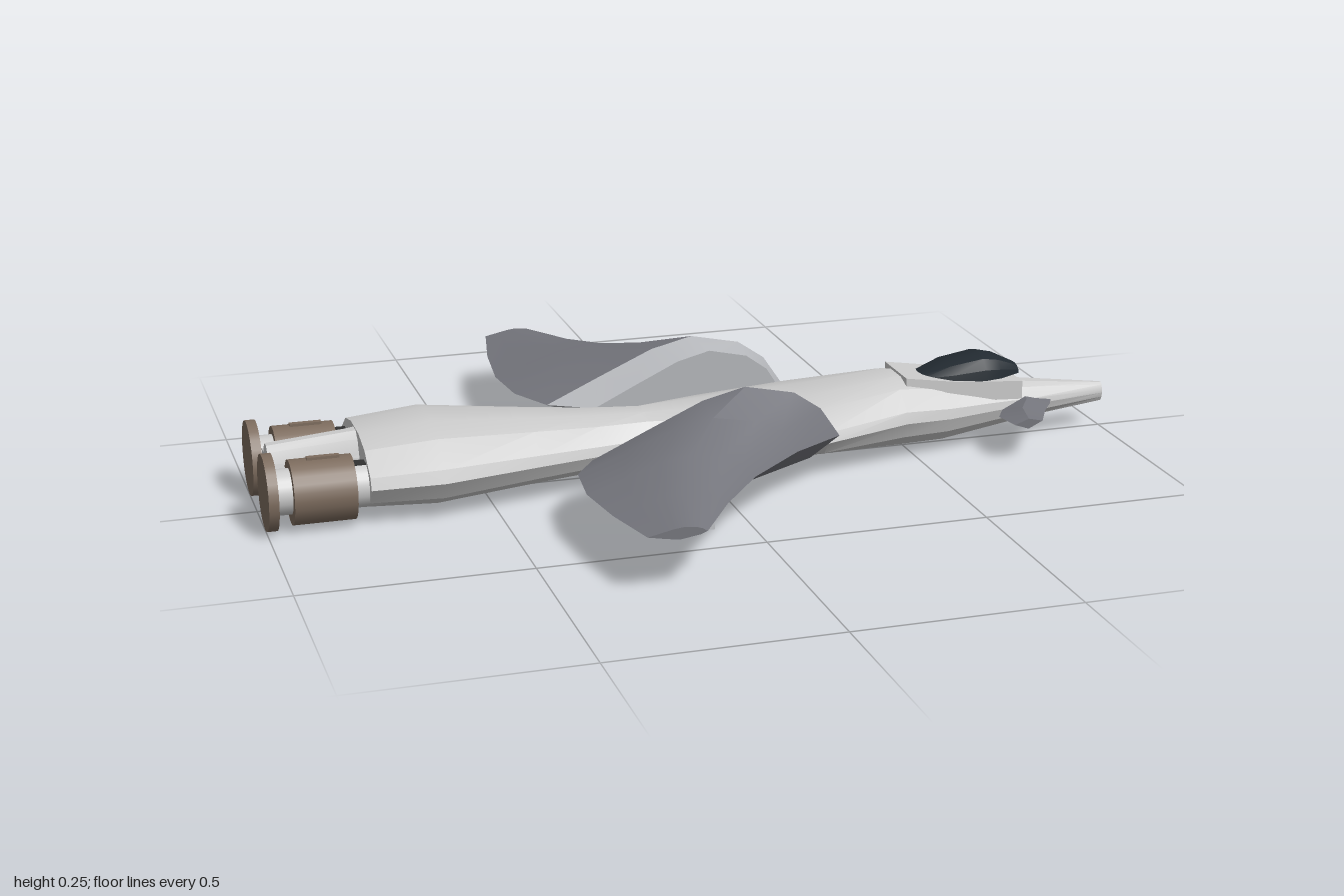
import * as THREE from 'three';
import { toCreasedNormals } from 'three/addons/utils/BufferGeometryUtils.js';

const mat = (color) => new THREE.MeshStandardMaterial({ color, side: THREE.DoubleSide });
const HULL = mat(0xcccccc), WING = mat(0x75767d), COLLAR = mat(0xb4b6ba);
const GLASS = mat(0x222a31), BROWN = mat(0x7d6c5e), DARK = mat(0x303030);

// Closed skin through rings of [x, y, z] points, wound outward by its signed volume.
function loft(rings, crease = 0.35) {
  const pos = [], n = rings[0].length;
  const tri = (a, b, c) => pos.push(...a, ...b, ...c);
  for (let i = 0; i < rings.length - 1; i++) {
    for (let j = 0; j < n; j++) {
      const k = (j + 1) % n, r = rings[i], s = rings[i + 1];
      tri(r[j], r[k], s[k]);
      tri(r[j], s[k], s[j]);
    }
  }
  const cap = (r, flip) => {
    const c = [0, 1, 2].map((q) => r.reduce((t, p) => t + p[q], 0) / n);
    r.forEach((p, j) => (flip ? tri(c, r[(j + 1) % n], p) : tri(c, p, r[(j + 1) % n])));
  };
  cap(rings[0], true);
  cap(rings[rings.length - 1], false);
  let vol = 0;
  const a = new THREE.Vector3(), b = new THREE.Vector3(), c = new THREE.Vector3();
  for (let i = 0; i < pos.length; i += 9) {
    vol += a.fromArray(pos, i).dot(b.fromArray(pos, i + 3).cross(c.fromArray(pos, i + 6)));
  }
  if (vol < 0) {
    for (let i = 0; i < pos.length; i += 9) {
      for (let q = 3; q < 6; q++) [pos[i + q], pos[i + q + 3]] = [pos[i + q + 3], pos[i + q]];
    }
  }
  const g = new THREE.BufferGeometry();
  g.setAttribute('position', new THREE.Float32BufferAttribute(pos, 3));
  g.computeVertexNormals();
  return toCreasedNormals(g, crease);
}

// Hull cross-section: [share of half width, share of height]
const HULL_SECTION = [
  [0.25, 1], [0.62, 0.9], [0.95, 0.64], [1, 0.48], [0.86, 0.25], [0.45, 0.03],
  [-0.45, 0.03], [-0.86, 0.25], [-1, 0.48], [-0.95, 0.64], [-0.62, 0.9], [-0.25, 1],
];
const hullRing = ([x, w, lo, hi]) => HULL_SECTION.map(([u, v]) => [x, lo + (hi - lo) * v, u * w]);

// Wing section: [share of chord from trailing edge, share of thickness above or below]
const WING_SECTION = [
  [0, 0], [0.22, 0.42], [0.44, 0.83], [0.61, 1], [0.81, 0.82], [0.92, 0.5],
  [1, 0], [0.88, -0.45], [0.53, -1], [0.25, -0.5],
];
const wingRing = (side) => ([z, te, le, top, bot, mid]) => WING_SECTION.map(([t, h]) =>
  [te + (le - te) * t, mid + (h > 0 ? h * (top - mid) : h * (mid - bot)), side * z]);

export function createModel() {
  const model = new THREE.Group();
  const add = (name, geometry, material, x = 0, y = 0, z = 0) => {
    const m = new THREE.Mesh(geometry, material);
    m.name = name;
    m.position.set(x, y, z);
    model.add(m);
    return m;
  };
  const box = (w, h, d) => new THREE.BoxGeometry(w, h, d);
  const barrel = (r, len, sides = 24) => new THREE.CylinderGeometry(r, r, len, sides).rotateZ(Math.PI / 2);

  // Pinched-waist hull: x, half width, bottom, top
  add('fuselage', loft([
    [1, 0.014, 0.065, 0.11], [0.8, 0.055, 0.048, 0.135], [0.7, 0.075, 0.035, 0.15],
    [0.58, 0.1, 0.02, 0.165], [0.46, 0.132, 0.022, 0.184], [0.25, 0.185, 0.028, 0.162],
    [0.02, 0.14, 0.032, 0.156], [-0.13, 0.09, 0.032, 0.153], [-0.25, 0.115, 0.03, 0.158],
    [-0.4, 0.148, 0.022, 0.17], [-0.62, 0.2, 0.008, 0.19], [-0.78, 0.187, 0.015, 0.175],
  ].map(hullRing)), HULL);

  // Narrow tail between the engines
  add('tailSpine', loft([
    [-0.7, 0.09, 0.02, 0.18], [-0.8, 0.045, 0.03, 0.17], [-0.975, 0.04, 0.04, 0.155],
  ].map(hullRing)), HULL);

  // Cockpit deck and canopy
  const rect = (x, w, lo, hi) => [[x, lo, w], [x, hi, w], [x, hi, -w], [x, lo, -w]];
  add('cockpitDeck', loft([
    rect(0.48, 0.068, 0.13, 0.187), rect(0.6, 0.068, 0.12, 0.168), rect(0.77, 0.065, 0.11, 0.153),
  ]), HULL);
  const canopyRing = ([x, w, lo, hi]) => [[1, 0], [0.95, 0.45], [0.62, 0.85], [0.2, 1], [-0.2, 1],
    [-0.62, 0.85], [-0.95, 0.45], [-1, 0]].map(([u, v]) => [x, lo + (hi - lo) * v, u * w]);
  add('canopy', loft([
    [0.53, 0.035, 0.165, 0.177], [0.6, 0.062, 0.162, 0.202], [0.68, 0.066, 0.162, 0.216],
    [0.72, 0.058, 0.162, 0.207], [0.775, 0.03, 0.162, 0.18],
  ].map(canopyRing)), GLASS);

  for (const side of [1, -1]) {
    const tag = side > 0 ? 'Front' : 'Back';

    // Swept wing with a thick root: z, trailing x, leading x, top, bottom, mid
    const ring = wingRing(side);
    const root = [0.2, -0.3, 0.27, 0.25, 0.014, 0.115];
    add('wing' + tag, loft([
      root, [0.29, -0.355, 0.14, 0.217, 0.047, 0.12], [0.42, -0.37, 0, 0.185, 0.076, 0.122],
      [0.57, -0.355, -0.11, 0.16, 0.1, 0.127], [0.72, -0.325, -0.2, 0.146, 0.12, 0.132],
    ].map(ring), 0.5), WING);
    add('wingRoot' + tag, loft([[0.145, -0.2, 0.25, 0.228, 0.03, 0.115], root].map(ring), 0.5), COLLAR);
    const pad = add('wingPad' + tag, box(0.04, 0.02, 0.13), COLLAR, -0.18, 0.103, side * 0.575);
    pad.rotation.x = -side * 0.14;

    // Small foreplane beside the nose
    const plane = (z, te, le, y, h) => [[te, y, side * z], [(te + le) / 2, y + h, side * z],
      [le, y + 0.004, side * z], [(te + le) / 2, y - h, side * z]];
    add('foreplane' + tag, loft([
      plane(0.03, 0.72, 0.86, 0.09, 0.02), plane(0.07, 0.72, 0.84, 0.09, 0.02),
      plane(0.12, 0.69, 0.805, 0.091, 0.017), plane(0.188, 0.7, 0.768, 0.092, 0.012),
    ]), WING);

    // Engine: barrel, pale shaft and nozzle disc
    const z = side * 0.116;
    add('engineBarrel' + tag, barrel(0.071, 0.135), BROWN, -0.876, 0.082, z);
    add('engineShaft' + tag, barrel(0.05, 0.24), HULL, -0.87, 0.085, z);
    add('engineNozzle' + tag, barrel(0.084, 0.022), BROWN, -0.989, 0.087, z);
    add('engineCoupling' + tag, box(0.05, 0.03, 0.03), DARK, -0.805, 0.12, z);
    add('engineRidge' + tag, box(0.07, 0.01, 0.014), BROWN, -0.87, 0.153, z);
    add('tailBrace' + tag, box(0.03, 0.05, 0.09), HULL, -0.958, 0.095, side * 0.07);
  }

  // Ribbed vent on one side of the waist
  for (let i = 0; i < 10; i++) {
    add('waistVent', box(0.015, 0.05, 0.02), BROWN, -0.19 + i * 0.022, 0.09, -0.095);
  }
  return model;
}
